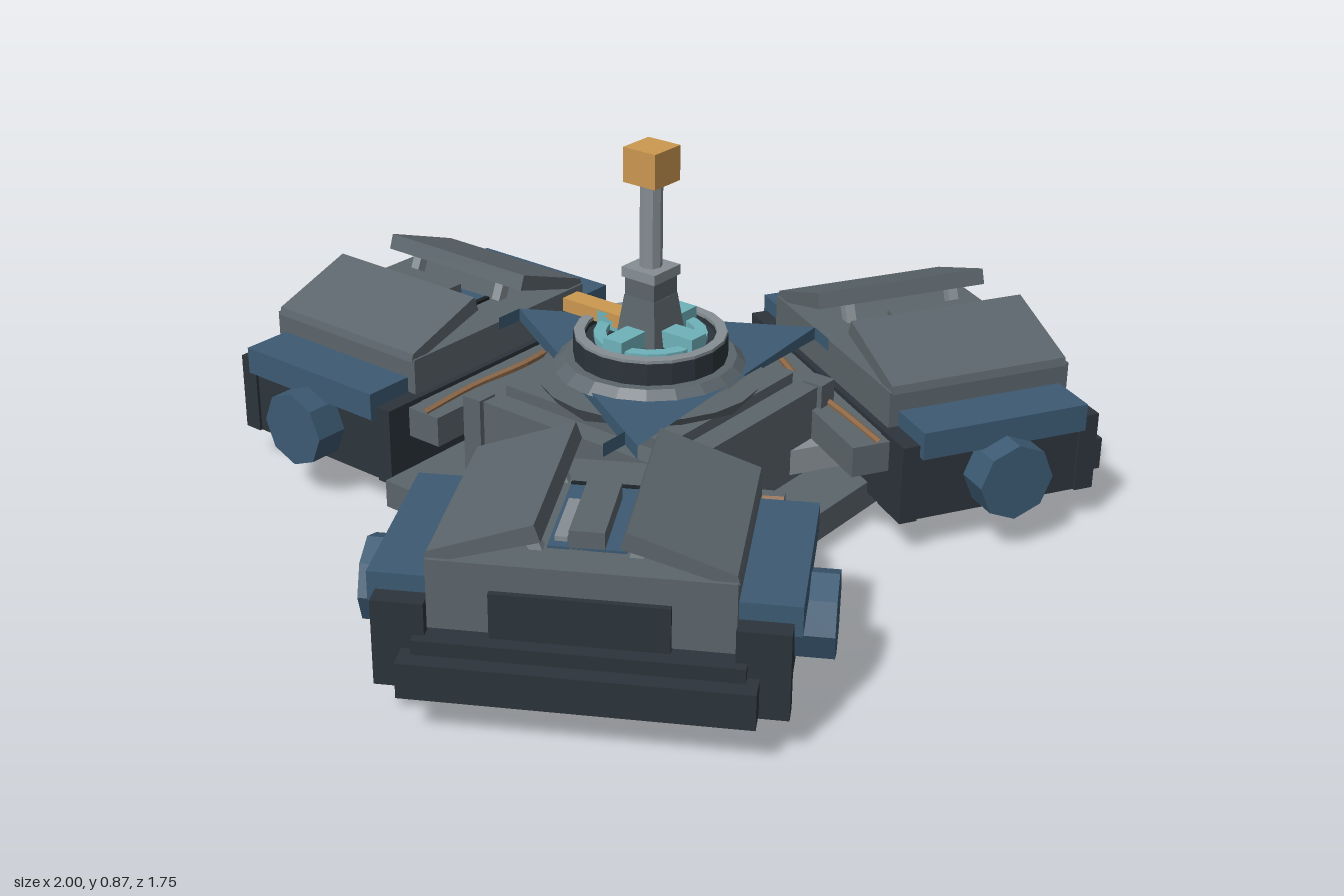
import * as THREE from 'three';

const mat = (name, color, side = THREE.FrontSide) => {
  const m = new THREE.MeshStandardMaterial({ color, flatShading: true, side });
  m.name = name;
  return m;
};

export function createModel() {
  const grey = mat('hull grey', 0x5b656b);
  const light = mat('light grey', 0x868f94);
  const dark = mat('dark steel', 0x2c343b);
  const black = mat('black', 0x1d2327);
  const blue = mat('blue', 0x3c5a73);
  const cyan = mat('cyan', 0x6fb2ba);
  const orange = mat('orange', 0xcc9850);
  const copper = mat('copper', 0x8d6848);

  const add = (parent, name, geometry, material) => {
    const m = new THREE.Mesh(geometry, material);
    m.name = name;
    parent.add(m);
    return m;
  };
  // Box given by its limits on each axis
  const box = (parent, name, material, [x0, x1], [y0, y1], [z0, z1]) => {
    const m = add(parent, name, new THREE.BoxGeometry(x1 - x0, y1 - y0, z1 - z0), material);
    m.position.set((x0 + x1) / 2, (y0 + y1) / 2, (z0 + z1) / 2);
    return m;
  };
  const drum = (parent, name, material, rTop, rBottom, y0, y1, sides = 20) => {
    const m = add(parent, name, new THREE.CylinderGeometry(rTop, rBottom, y1 - y0, sides), material);
    m.position.y = (y0 + y1) / 2;
    return m;
  };
  const ring = (parent, name, material, r0, r1, y0, y1) => add(parent, name, new THREE.LatheGeometry(
    [[r0, y0], [r1, y0], [r1, y1], [r0, y1], [r0, y0]].map(p => new THREE.Vector2(...p)), 20), material);

  const model = new THREE.Group();
  model.name = 'outpost';
  const hub = new THREE.Group();
  hub.name = 'hub';
  hub.position.z = 0.085;
  model.add(hub);

  // Stepped square base and central body
  const square = (name, material, h, y0, y1) => box(hub, name, material, [-h, h], [y0, y1], [-h, h]);
  square('foot', grey, 0.295, 0, 0.045);
  square('basePlate', grey, 0.417, 0.04, 0.105);
  square('body', grey, 0.28, 0.1, 0.3);
  square('bodyTop', grey, 0.225, 0.3, 0.325);
  for (const x of [-1, 1]) for (const z of [-1, 1]) {
    const post = box(hub, 'cornerPost', grey, [-0.025, 0.025], [0.1, 0.305], [-0.025, 0.025]);
    post.position.x = x * 0.267;
    post.position.z = z * 0.267;
  }
  drum(hub, 'neck', grey, 0.25, 0.22, 0.3, 0.345);

  // Triangular deck with clipped corners
  const deckShape = new THREE.Shape();
  for (let i = 0; i < 3; i++) for (const s of [-1, 1]) {
    const a = Math.PI / 2 - i * Math.PI * 2 / 3 - s * -0.085;
    const r = 0.418, x = r * Math.cos(a), y = r * Math.sin(a);
    if (i === 0 && s === -1) deckShape.moveTo(x, y);
    else deckShape.lineTo(x, y);
  }
  const deckGeo = new THREE.ExtrudeGeometry(deckShape, { depth: 0.03, bevelEnabled: false });
  deckGeo.rotateX(-Math.PI / 2);
  add(hub, 'deck', deckGeo, blue).position.y = 0.34;

  // Turntable
  drum(hub, 'turntableBase', grey, 0.19, 0.215, 0.365, 0.388);
  ring(hub, 'turntableWall', dark, 0.145, 0.17, 0.385, 0.437);
  ring(hub, 'turntableRim', light, 0.145, 0.168, 0.436, 0.444);
  drum(hub, 'turntableFloor', dark, 0.147, 0.147, 0.385, 0.425);
  ring(hub, 'glowRing', cyan, 0.098, 0.125, 0.42, 0.44);
  for (let i = 0; i < 4; i++) {
    const arm = new THREE.Group();
    arm.name = 'glowArm';
    arm.rotation.y = i * Math.PI / 2;
    box(arm, 'glowBlock', cyan, [-0.025, 0.025], [0.425, 0.463], [0.05, 0.132]);
    hub.add(arm);
  }
  box(hub, 'pointer', orange, [-0.025, 0.025], [0.435, 0.466], [-0.23, -0.05]);

  // Mast
  const taper = drum(hub, 'mastFoot', grey, 0.058, 0.078, 0.42, 0.53, 4);
  taper.rotation.y = Math.PI / 4;
  box(hub, 'mastBlock', grey, [-0.04, 0.04], [0.53, 0.572], [-0.04, 0.04]);
  box(hub, 'mastCollar', light, [-0.045, 0.045], [0.572, 0.595], [-0.045, 0.045]);
  drum(hub, 'mastPole', light, 0.025, 0.025, 0.59, 0.79, 8);
  box(hub, 'beacon', orange, [-0.043, 0.043], [0.787, 0.865], [-0.043, 0.043]);

  // One pod, pointing to the back
  const makePod = () => {
    const pod = new THREE.Group();
    pod.name = 'pod';
    pod.position.z = -0.085;
    const b = (...args) => box(pod, ...args);

    // Link to the body
    b('linkBlock', light, [-0.17, 0.17], [0.12, 0.18], [-0.31, -0.18]);
    b('linkBeam', grey, [-0.33, 0.33], [0.18, 0.25], [-0.345, -0.25]);
    const path = new THREE.CatmullRomCurve3([
      [-0.33, 0.25, -0.29], [-0.16, 0.252, -0.30], [0, 0.256, -0.285], [0.16, 0.252, -0.305], [0.33, 0.25, -0.315],
    ].map(p => new THREE.Vector3(...p)));
    add(pod, 'cable', new THREE.TubeGeometry(path, 16, 0.009, 6), copper);

    // Lower hull and bumper
    b('lowerHull', dark, [-0.385, 0.385], [0.08, 0.26], [-0.79, -0.34]);
    b('underPlate', black, [-0.33, 0.33], [0.073, 0.081], [-0.77, -0.38]);
    b('endLedge', dark, [-0.312, 0.312], [0.08, 0.195], [-0.84, -0.78]);
    b('bumper', dark, [-0.335, 0.335], [0.09, 0.165], [-0.875, -0.82]);

    // Upper housing with end hatch
    b('housing', grey, [-0.29, 0.29], [0.2, 0.345], [-0.798, -0.355]);
    b('endHatch', dark, [-0.17, 0.17], [0.195, 0.29], [-0.81, -0.79]);

    for (const s of [-1, 1]) {
      const span = (a, c) => (s > 0 ? [a, c] : [-c, -a]);
      b('cornerPillar', dark, span(0.29, 0.392), [0.08, 0.262], [-0.82, -0.775]);
      b('innerPillar', dark, span(0.29, 0.392), [0.08, 0.262], [-0.38, -0.338]);
      b('shoulder', blue, span(0.28, 0.408), [0.235, 0.298], [-0.778, -0.378]);
      const lug = add(pod, 'sideLug', new THREE.CylinderGeometry(0.088, 0.088, 0.09, 8), blue);
      lug.rotation.z = Math.PI / 2;
      lug.position.set(s * 0.417, 0.17, -0.58);

      // Raised roof panel, hinged at its outer edge
      const panel = new THREE.Shape(
        [[0.293, 0.34], [0.288, 0.358], [0.085, 0.43], [0.073, 0.395], [0.26, 0.34]]
          .map(([x, y]) => new THREE.Vector2(s * x, y)));
      const panelGeo = new THREE.ExtrudeGeometry(panel, { depth: 0.43, bevelEnabled: false });
      add(pod, 'roofPanel', panelGeo, grey).position.z = -0.79;
      for (const z of [-0.72, -0.45]) {
        const strut = b('panelStrut', light, [-0.012, 0.012], [-0.035, 0.035], [-0.012, 0.012]);
        strut.position.set(s * 0.105, 0.37, z);
        strut.rotation.z = s * -0.4;
      }
    }

    // Bay between the panels
    b('bayFloor', blue, [-0.075, 0.075], [0.34, 0.35], [-0.72, -0.47]);
    b('bayBeam', grey, [-0.034, 0.034], [0.345, 0.385], [-0.72, -0.515]);
    b('baySide', light, [0.04, 0.065], [0.345, 0.36], [-0.7, -0.55]);
    b('bayEdge', black, [-0.075, 0.075], [0.342, 0.352], [-0.475, -0.463]);
    return pod;
  };

  // Three pods around the hub
  for (let i = 0; i < 3; i++) {
    const arm = new THREE.Group();
    arm.name = ['backArm', 'rightArm', 'leftArm'][i];
    arm.rotation.y = i * Math.PI * 2 / 3;
    arm.add(makePod());
    hub.add(arm);
  }
  return model;
}
